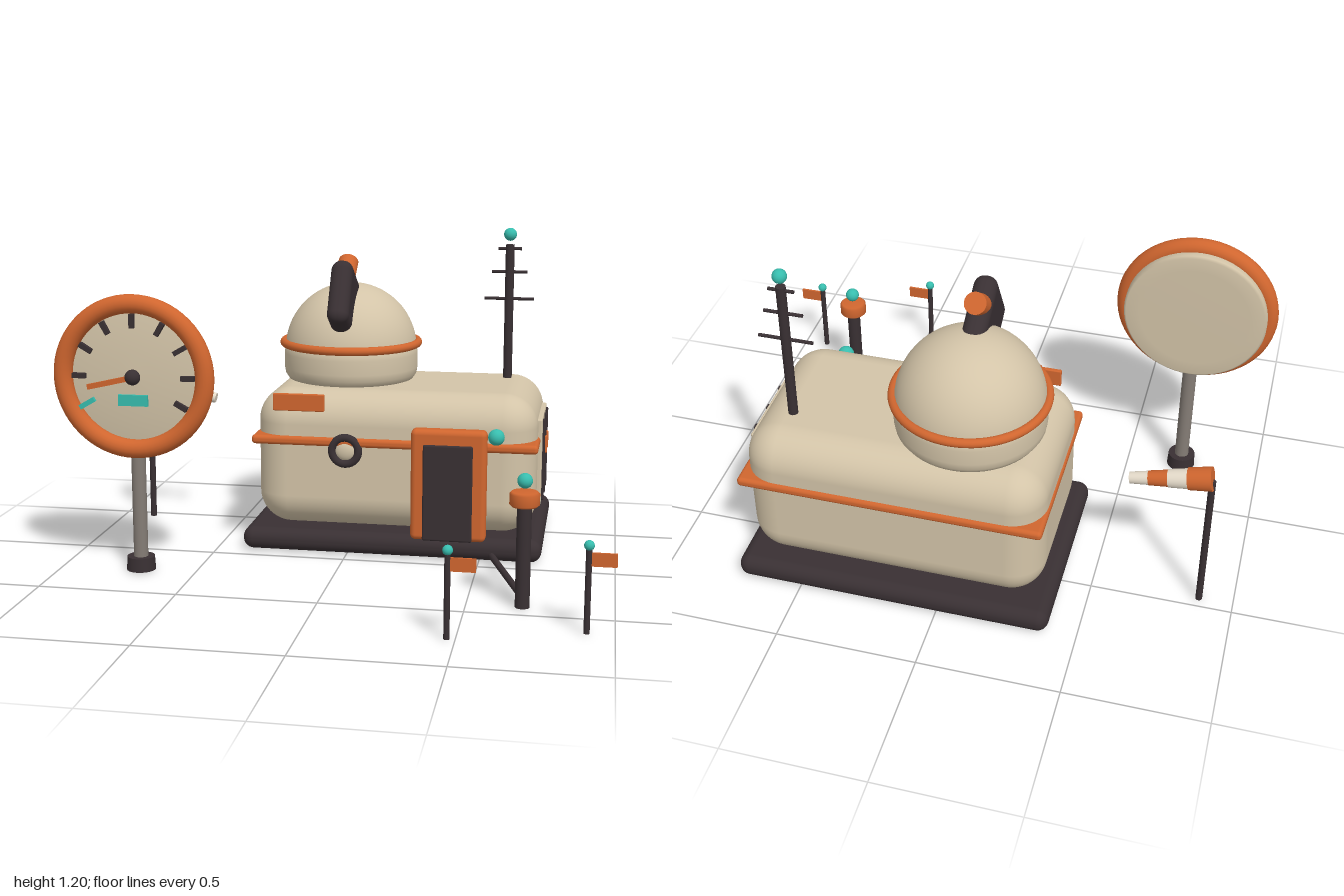
import * as THREE from 'three';
import { RoundedBoxGeometry } from 'three/addons/geometries/RoundedBoxGeometry.js';

const mat = (name, color) => {
  const m = new THREE.MeshStandardMaterial({ color });
  m.name = name;
  return m;
};

export function createModel() {
  const beige = mat('warm beige', 0xd3c4a8);
  const cream = mat('pale cream', 0xe6dccb);
  const orange = mat('burnt orange', 0xd0662f);
  const dark = mat('charcoal', 0x393033);
  const grey = mat('pole grey', 0x847c75);
  const teal = mat('teal', 0x38bdae);

  const root = new THREE.Group();
  root.name = 'weatherStation';
  let parent = root;

  const group = (name, x = 0, y = 0, z = 0) => {
    const g = new THREE.Group();
    g.name = name;
    g.position.set(x, y, z);
    root.add(g);
    return g;
  };
  const add = (name, geo, m, x, y, z) => {
    const mesh = new THREE.Mesh(geo, m);
    mesh.name = name;
    mesh.position.set(x, y, z);
    parent.add(mesh);
    return mesh;
  };
  const box = (name, m, w, h, d, x, y, z, r = 0) =>
    add(name, r ? new RoundedBoxGeometry(w, h, d, 6, r) : new THREE.BoxGeometry(w, h, d), m, x, y, z);
  const ball = (name, m, r, x, y, z) => add(name, new THREE.SphereGeometry(r, 24, 16), m, x, y, z);
  const cyl = (name, m, r, h, x, y, z, r2 = r) =>
    add(name, new THREE.CylinderGeometry(r2, r, h, 28), m, x, y, z);
  // Cylinder running between two points
  const rod = (name, m, a, b, r, r2 = r) => {
    const p = new THREE.Vector3(...a), q = new THREE.Vector3(...b);
    const mesh = cyl(name, m, r, p.distanceTo(q), 0, 0, 0, r2);
    mesh.position.copy(p).lerp(q, 0.5);
    mesh.quaternion.setFromUnitVectors(new THREE.Vector3(0, 1, 0), q.sub(p).normalize());
    return mesh;
  };
  const lathe = pts => new THREE.LatheGeometry(pts.map(p => new THREE.Vector2(...p)), 56);

  // Main building
  parent = group('building');
  box('baseSlab', dark, 1.13, 0.085, 0.74, 0.165, 0.047, -0.412, 0.04);
  box('body', beige, 1.06, 0.527, 0.645, 0.17, 0.349, -0.412, 0.125);
  box('bodyBand', orange, 1.075, 0.034, 0.67, 0.171, 0.428, -0.411, 0.014);
  box('signPlate', orange, 0.195, 0.065, 0.016, -0.183, 0.577, -0.077, 0.004);

  // Door with its lamp
  box('doorFrame', orange, 0.28, 0.42, 0.06, 0.385, 0.29, -0.06, 0.02);
  box('doorPanel', dark, 0.185, 0.365, 0.02, 0.383, 0.263, -0.035, 0.008);
  ball('doorLamp', teal, 0.03, 0.56, 0.485, -0.022);

  // Porthole
  add('portholeRing', new THREE.TorusGeometry(0.05, 0.015, 14, 40), dark, -0.008, 0.397, -0.083);
  ball('portholeGlass', beige, 0.04, -0.008, 0.397, -0.09).scale.z = 0.5;

  // Vent panel on the side wall
  box('ventPanel', beige, 0.03, 0.33, 0.34, 0.7, 0.345, -0.41, 0.006);
  for (const z of [-0.295, -0.408, -0.521]) box('ventSlot', dark, 0.014, 0.315, 0.022, 0.717, 0.345, z, 0.005);
  for (const z of [-0.365, -0.453]) box('ventHandle', orange, 0.02, 0.07, 0.016, 0.72, 0.39, z, 0.006);

  // Observatory dome
  parent = group('observatory', -0.05, 0, -0.455);
  add('drum', lathe([[0, 0.6], [0.215, 0.605], [0.245, 0.615], [0.258, 0.635], [0.262, 0.66],
    [0.262, 0.715], [0.258, 0.74], [0.245, 0.757], [0, 0.76]]), beige, 0, 0, 0);
  add('dome', new THREE.SphereGeometry(0.258, 48, 20, 0, Math.PI * 2, 0, Math.PI / 2), beige, 0, 0.728, 0);
  add('domeRing', new THREE.TorusGeometry(0.263, 0.016, 14, 64), orange, 0, 0.754, 0).rotation.x = Math.PI / 2;
  box('telescopeHousing', dark, 0.083, 0.255, 0.26, 0, 0.928, 0.162, 0.038).rotation.x = -0.54;
  rod('eyepiece', orange, [0, 1.005, 0.155], [0, 1.075, 0.062], 0.038);

  // Roof antenna
  parent = group('antenna', 0.56, 0, -0.545);
  cyl('mast', dark, 0.017, 0.555, 0, 0.858, 0);
  ball('mastLight', teal, 0.025, 0, 1.175, 0);
  for (const [y, half] of [[1.12, 0.045], [1.03, 0.068], [0.925, 0.096]])
    rod('crossbar', dark, [-half, y, 0], [half, y, 0], 0.006);

  // Dial on a post
  parent = group('dialPost', -0.705, 0, 0.245);
  cyl('foot', dark, 0.053, 0.05, 0, 0.027, 0, 0.05);
  cyl('post', grey, 0.026, 0.44, 0, 0.26, 0);
  parent = group('dial', -0.705, 0.72, 0);
  add('rim', new THREE.TorusGeometry(0.261, 0.034, 18, 64), orange, 0, 0, 0.276);
  add('dialFace', lathe([[0, 0.208], [0.2, 0.208], [0.252, 0.21], [0.26, 0.217], [0.26, 0.262],
    [0.245, 0.267], [0.16, 0.277], [0.08, 0.282], [0, 0.284]]), beige, 0, 0, 0).rotation.x = Math.PI / 2;
  for (let i = 0; i < 9; i++) {
    const a = THREE.MathUtils.degToRad(-30 + i * 30), last = i === 8;
    box('tick', last ? teal : dark, last ? 0.065 : 0.05, 0.018, 0.024,
      0.2 * Math.cos(a), 0.2 * Math.sin(a), 0.278).rotation.z = a;
  }
  box('readout', teal, 0.108, 0.04, 0.02, 0, -0.083, 0.283);
  const tilt = THREE.MathUtils.degToRad(13);
  box('needle', orange, 0.17, 0.019, 0.012, -0.085 * Math.cos(tilt), -0.085 * Math.sin(tilt), 0.295)
    .rotation.z = tilt;
  ball('hub', dark, 0.028, 0, 0, 0.288);

  // Windsock
  parent = group('windsock', -0.88, 0, -0.46);
  cyl('sockPole', dark, 0.012, 0.55, 0, 0.275, 0);
  const at = t => [0.275 * t, 0.56 - 0.055 * t, 0];
  const stops = [0, 0.29, 0.53, 0.77, 1];
  const radii = [0.042, 0.035, 0.029, 0.024];
  radii.forEach((r, i) => rod('sockSegment', i % 2 ? cream : orange, at(stops[i]), at(stops[i + 1]), r, r - 0.004));

  // Bollard joined to the base by a ground pipe
  parent = group('bollard');
  cyl('bollardPost', dark, 0.025, 0.36, 0.69, 0.18, 0.416);
  add('bollardCap', new RoundedBoxGeometry(0.01, 0.01, 0.01, 1, 0.002), orange, 0.69, 0.378, 0.416).geometry =
    lathe([[0, -0.025], [0.044, -0.025], [0.051, -0.018], [0.051, 0.018], [0.044, 0.025], [0, 0.025]]);
  ball('bollardLight', teal, 0.026, 0.69, 0.44, 0.416);
  rod('groundPipe', dark, [0.545, 0.03, -0.06], [0.685, 0.03, 0.39], 0.012);

  // Marker flags
  for (const [x, z] of [[0.472, 0.766], [0.909, 0.635]]) {
    parent = group('markerFlag', x, 0, z);
    cyl('flagPole', dark, 0.01, 0.285, 0, 0.1425, 0);
    ball('flagLight', teal, 0.017, 0, 0.294, 0);
    box('flag', orange, 0.083, 0.045, 0.008, 0.049, 0.248, 0);
  }
  return root;
}
